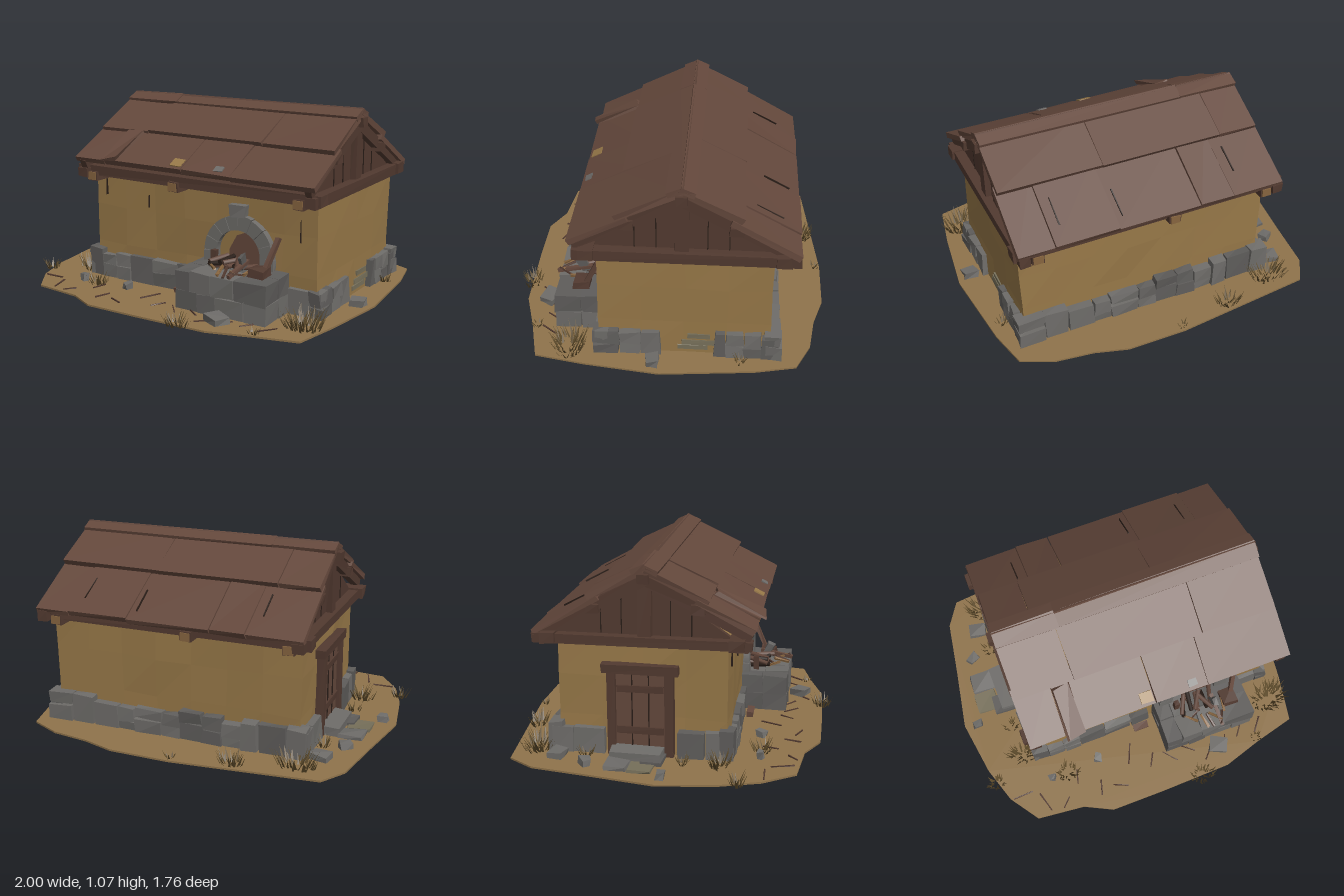
import * as THREE from 'three';

const paint = (name, color, side = THREE.FrontSide) => {
  const m = new THREE.MeshStandardMaterial({ color, side });
  m.name = name;
  return m;
};

export function createModel() {
  const root = new THREE.Group();
  root.name = 'cottage';
  const plaster = paint('plaster', 0x977848), earth = paint('earth', 0x8f734b);
  const roofWood = paint('roofWood', 0x64483c), beamWood = paint('beamWood', 0x523a30);
  const stone = paint('stone', 0x6e6c69), stoneDark = paint('stoneDark', 0x5f5d5b);
  const endGrain = paint('endGrain', 0x86643f), dark = paint('dark', 0x2a1e18);
  const grassMat = paint('dryGrass', 0x5c4a2a, THREE.DoubleSide);
  const mossy = paint('mossyStone', 0x77705a);

  let seed = 7;
  const rnd = () => (seed = (seed * 16807) % 2147483647) / 2147483647;
  const jit = (a) => (rnd() - 0.5) * 2 * a;

  function add(name, geo, mat, x = 0, y = 0, z = 0, parent = root) {
    const m = new THREE.Mesh(geo, mat);
    m.name = name;
    m.position.set(x, y, z);
    parent.add(m);
    return m;
  }
  function group(name) {
    const g = new THREE.Group();
    g.name = name;
    root.add(g);
    return g;
  }
  // Box with slightly displaced corners and flat faces
  function rough(w, h, d, amt, sx = 1, sy = 1, sz = 1) {
    const g = new THREE.BoxGeometry(w, h, d, sx, sy, sz).toNonIndexed();
    const p = g.attributes.position, moved = new Map();
    for (let i = 0; i < p.count; i++) {
      const v = [p.getX(i), p.getY(i), p.getZ(i)];
      const k = v.map((n) => Math.round(n * 1e4)).join();
      if (!moved.has(k)) moved.set(k, v.map((n) => n + jit(amt)));
      p.setXYZ(i, ...moved.get(k));
    }
    g.computeVertexNormals();
    return g;
  }
  // Box given by its limits
  function block(name, mat, x0, x1, y0, y1, z0, z1, amt = 0.004, parent = root) {
    return add(name, rough(x1 - x0, y1 - y0, z1 - z0, amt), mat,
      (x0 + x1) / 2, (y0 + y1) / 2, (z0 + z1) / 2, parent);
  }
  // Board whose top runs between two [z, y] points, back to front
  function slope(name, mat, x0, x1, a, b, th, amt = 0.003, parent = root) {
    const dz = b[0] - a[0], dy = b[1] - a[1], t = Math.atan2(-dy, dz);
    const m = add(name, rough(x1 - x0, th, Math.hypot(dz, dy), amt), mat, (x0 + x1) / 2,
      (a[1] + b[1]) / 2 - Math.cos(t) * th / 2, (a[0] + b[0]) / 2 - Math.sin(t) * th / 2, parent);
    m.rotation.x = t;
    return m;
  }

  // Ground
  const outline = [[-1, 0], [-0.94, -0.35], [-0.89, -0.67], [-0.8, -0.81], [-0.4, -0.85], [0, -0.89],
    [0.34, -0.885], [0.52, -0.83], [0.73, -0.8], [0.9, -0.72], [0.95, -0.5], [1, 0], [0.95, 0.4],
    [0.9, 0.67], [0.66, 0.73], [0.43, 0.8], [0, 0.81], [-0.32, 0.81], [-0.48, 0.73], [-0.76, 0.7],
    [-0.88, 0.53], [-0.95, 0.32]];
  const ground = new THREE.ExtrudeGeometry(
    new THREE.Shape(outline.map(([x, z]) => new THREE.Vector2(x, -z))), { depth: 0.01, bevelEnabled: false });
  add('ground', ground.rotateX(-Math.PI / 2), earth);

  // Walls
  add('walls', rough(1.44, 0.65, 0.91, 0.007, 7, 3, 4), plaster, 0.1, 0.325, -0.125);
  for (const [x, y, h] of [[-0.55, 0.5, 0.1], [-0.25, 0.46, 0.07], [0.72, 0.4, 0.12]])
    block('wallCrack', dark, x, x + 0.005, y, y + h, 0.332, 0.34, 0.002);

  // Stone footing, with one or two courses per stretch
  const footing = group('footing');
  function course(axis, from, to, lo, hi, h) {
    for (let p = from; p < to - 0.01;) {
      let q = p + 0.08 + rnd() * 0.09;
      if (to - q < 0.06) q = to;
      const top = h + jit(0.018), split = rnd() < 0.5 ? top * (0.4 + rnd() * 0.25) : 0;
      for (const [y0, y1] of split ? [[0, split], [split + 0.003, top]] : [[0, top]]) {
        const lim = [p + 0.002, q - 0.002, y0, y1], mat = rnd() < 0.35 ? stoneDark : stone, o = jit(0.008);
        if (axis === 'x') block('footingStone', mat, ...lim, lo + o, hi + o, 0.007, footing);
        else block('footingStone', mat, lo + o, hi + o, y0, y1, lim[0], lim[1], 0.007, footing);
      }
      p = q;
    }
  }
  course('x', -0.67, 0.08, 0.29, 0.365, 0.16);
  course('x', 0.66, 0.86, 0.29, 0.365, 0.16);
  course('x', -0.67, 0.86, -0.63, -0.55, 0.155);
  course('z', 0, 0.36, 0.78, 0.855, 0.155);
  course('z', -0.62, -0.28, 0.78, 0.855, 0.155);
  course('z', 0.06, 0.36, -0.67, -0.6, 0.16);
  course('z', -0.62, -0.33, -0.67, -0.6, 0.16);
  for (const [y, z, w] of [[0.035, -0.17, 0.16], [0.07, -0.2, 0.18], [0.11, -0.2, 0.12]])
    block('exposedStone', mossy, 0.822, 0.83, y, y + 0.028, z - w / 2, z + w / 2, 0.002);

  // Beams: cross beams with pale ends, wall plates and gable ties
  for (const x of [-0.58, -0.02, 0.75]) {
    block('crossBeam', beamWood, x - 0.033, x + 0.033, 0.595, 0.65, -0.69, 0.43);
    for (const z of [-0.692, 0.432])
      block('beamEnd', endGrain, x - 0.027, x + 0.027, 0.6, 0.645, z - 0.004, z + 0.004, 0);
  }
  for (const z of [-0.62, 0.375]) block('wallPlate', beamWood, -0.69, 0.87, 0.62, 0.68, z - 0.04, z + 0.04);
  for (const x of [-0.635, 0.825]) block('gableTie', beamWood, x - 0.03, x + 0.03, 0.615, 0.67, -0.71, 0.45);

  // Gables
  const tri = new THREE.Shape([[-0.37, 0.65], [0.61, 0.65], [0.11, 0.985]].map((p) => new THREE.Vector2(...p)));
  for (const s of [-1, 1]) {
    const x = 0.095 + s * 0.69;
    add('gableBoards', new THREE.ExtrudeGeometry(tri, { depth: 0.03, bevelEnabled: false })
      .rotateY(Math.PI / 2), beamWood, x - 0.015);
    const o = x + s * 0.03;
    block('gablePost', beamWood, o - 0.02, o + 0.02, 0.65, 0.98, -0.145, -0.075);
    for (const z of [-0.35, -0.24, 0.02, 0.13])
      block('boardSeam', dark, x + s * 0.017 - 0.002, x + s * 0.017 + 0.002, 0.67, z < -0.3 || z > 0.1 ? 0.8 : 0.88, z, z + 0.005, 0);
    slope('rafter', beamWood, o - 0.02, o + 0.02, [-0.11, 1], [0.46, 0.715], 0.06);
    slope('rafter', beamWood, o - 0.02, o + 0.02, [-0.69, 0.685], [-0.11, 1], 0.06);
    for (const [z, y] of [[0.17, 0.825], [-0.38, 0.81]])
      block('purlinEnd', beamWood, o - 0.04, o + 0.04, y - 0.025, y + 0.025, z - 0.035, z + 0.035);
  }

  // Roof planks in two overlapping rows on each slope, and a ridge cap
  const roof = group('roof');
  function row(cuts, a, b) {
    for (let i = 0; i < cuts.length - 1; i++) {
      const d = jit(0.005);
      slope('roofPlank', roofWood, cuts[i] + 0.002, cuts[i + 1] - 0.002,
        [a[0], a[1] + d], [b[0], b[1] + d], 0.032, 0.004, roof);
    }
  }
  row([-0.67, -0.46, 0.06, 0.37, 0.86], [0.17, 0.885], [0.47, 0.735]);
  row([-0.66, -0.33, 0.42, 0.85], [-0.1, 1.035], [0.23, 0.878]);
  row([-0.67, -0.36, -0.16, 0.31, 0.66, 0.86], [-0.715, 0.69], [-0.36, 0.885]);
  row([-0.66, -0.43, 0.27, 0.85], [-0.42, 0.885], [-0.12, 1.035]);
  slope('brokenShingle', roofWood, -0.46, -0.36, [0.24, 0.875], [0.5, 0.755], 0.025, 0.012, roof).rotation.z = 0.05;
  for (const [x0, x1] of [[-0.66, -0.31], [-0.31, 0.85]]) {
    slope('ridgeCap', roofWood, x0, x1, [-0.115, 1.055], [-0.03, 1.018], 0.03, 0.003, roof);
    slope('ridgeCap', roofWood, x0, x1, [-0.18, 1.022], [-0.105, 1.055], 0.03, 0.003, roof);
  }
  block('ridgeBeam', beamWood, -0.685, 0.865, 0.955, 1.005, -0.14, -0.08);
  slope('roofPatch', plaster, -0.02, 0.05, [0.4, 0.778], [0.455, 0.75], 0.006, 0.002);
  slope('roofPatch', stone, 0.26, 0.31, [0.42, 0.768], [0.455, 0.75], 0.006, 0.002);
  for (const [x, z] of [[0.27, -0.66], [-0.42, -0.6], [0.6, -0.62]]) {
    const y = 0.69 + (z + 0.715) * 0.55;
    slope('roofCrack', dark, x, x + 0.006, [z, y + 0.004], [z + 0.14, y + 0.081], 0.008, 0.002);
  }

  // Door on the right side, with frame, planks and threshold
  const door = group('door');
  block('doorPanel', roofWood, -0.645, -0.61, 0.02, 0.47, -0.27, 0, 0.002, door);
  for (const z of [-0.18, -0.09]) block('doorSeam', dark, -0.65, -0.644, 0.04, 0.46, z - 0.003, z + 0.003, 0, door);
  for (const y of [0.13, 0.36]) block('doorBrace', beamWood, -0.655, -0.63, y, y + 0.04, -0.26, -0.01, 0.002, door);
  for (const z of [-0.29, 0.02]) block('doorPost', beamWood, -0.665, -0.6, 0, 0.48, z - 0.025, z + 0.025, 0.004, door);
  block('doorLintel', beamWood, -0.672, -0.6, 0.465, 0.515, -0.34, 0.07, 0.004, door);
  block('threshold', stone, -0.75, -0.64, 0, 0.06, -0.29, -0.01, 0.006);
  for (const [x, z, m] of [[-0.81, -0.23, stone], [-0.82, -0.1, mossy], [-0.72, -0.06, stoneDark]])
    block('pavingSlab', m, x - 0.065, x + 0.065, 0, 0.025, z - 0.06, z + 0.06, 0.008);

  // Oven: stone hearth, arch and fire opening
  const oven = group('oven');
  block('hearthCore', stoneDark, 0.13, 0.64, 0, 0.2, 0.32, 0.575, 0, oven);
  const cuts = [[0.11, 0.25, 0.36, 0.53, 0.66], [0.11, 0.2, 0.33, 0.47, 0.66]];
  cuts.forEach((c, j) => {
    for (let i = 0; i < 4; i++)
      for (const [z0, z1] of [[0.32, 0.45], [0.453, 0.595]])
        block('hearthStone', rnd() < 0.35 ? stoneDark : stone, c[i] + 0.002, c[i + 1] - 0.002,
          j * 0.113, j * 0.113 + 0.11, z0, z1, 0.007, oven);
  });
  const cx = 0.36, cy = 0.285;
  const opening = new THREE.Shape().moveTo(-0.065, -0.065).lineTo(-0.065, 0.02).lineTo(-0.02, 0.1)
    .lineTo(0.04, 0.125).lineTo(0.1, 0.08).lineTo(0.135, 0).lineTo(0.135, -0.065);
  add('fireOpening', new THREE.ExtrudeGeometry(opening, { depth: 0.006, bevelEnabled: false }), roofWood, cx, cy, 0.337, oven);
  for (let i = 0; i < 8; i++) {
    const s = new THREE.Shape(), a = i * Math.PI / 8 + 0.008, b = (i + 1) * Math.PI / 8 - 0.008;
    s.absarc(0, 0, 0.215 + jit(0.004), a, b, false);
    s.absarc(0, 0, 0.135, b, a, true);
    add('archStone', new THREE.ExtrudeGeometry(s, { depth: 0.045, bevelEnabled: false, curveSegments: 4 }),
      stone, cx, cy, 0.32, oven);
  }
  for (const x of [0.145, 0.495]) block('archFoot', stone, x, x + 0.08, 0.21, 0.285, 0.32, 0.365, 0.003, oven);
  block('keystone', stone, 0.305, 0.405, 0.49, 0.56, 0.32, 0.37, 0.005, oven);

  // Firewood and tools on the hearth
  for (let i = 0; i < 9; i++) {
    const log = add('firewood', new THREE.CylinderGeometry(0.013, 0.015, 0.12, 6), i % 3 ? roofWood : dark,
      0.27 + (i % 5) * 0.045, 0.24 + (i > 4 ? 0.025 : 0), 0.41 + jit(0.03));
    log.rotation.set(1.4 + jit(0.3), 0, jit(0.8));
  }
  block('woodBlock', beamWood, 0.5, 0.59, 0.22, 0.265, 0.41, 0.5, 0.006);
  add('toolHandle', rough(0.025, 0.2, 0.025, 0.003), roofWood, 0.585, 0.325, 0.4).rotation.set(-0.45, 0, -0.2);
  add('pegLeft', rough(0.03, 0.08, 0.03, 0.003), beamWood, 0.235, 0.265, 0.4);
  add('axeHandle', rough(0.02, 0.02, 0.2, 0.002), roofWood, 0.45, 0.26, 0.51).rotation.x = 0.2;
  add('axeHead', rough(0.02, 0.085, 0.05, 0.01), stoneDark, 0.45, 0.285, 0.46).rotation.x = 0.5;
  for (let i = 0; i < 7; i++)
    add('kindling', rough(0.012, 0.012, 0.09, 0.004), i % 2 ? beamWood : endGrain, 0.29 + i * 0.035, 0.245, 0.52 + jit(0.04))
      .rotation.set(jit(0.5), jit(1.5), 0);
  block('woodScrap', roofWood, -0.03, 0.06, 0.01, 0.045, 0.37, 0.41);

  // Loose stones and twigs
  for (const [x, z, s] of [[-0.73, -0.57, 0.1], [-0.82, -0.4, 0.065], [-0.92, 0.02, 0.055], [0.92, 0.04, 0.08],
    [0.42, 0.67, 0.11], [-0.6, 0.5, 0.04], [-0.3, 0.48, 0.05]])
    add('looseStone', rough(s, 0.05, s * 0.8, 0.01), stone, x, 0.022, z).rotation.y = jit(0.6);
  for (let i = 0; i < 14; i++)
    add('twig', rough(0.007, 0.007, 0.07 + rnd() * 0.06, 0.002), beamWood, -0.8 + i * 0.115, 0.013, 0.52 + rnd() * 0.18)
      .rotation.y = jit(1.6);

  // Grass tufts made of bent triangular blades
  function tuft(x, z, r, h, n) {
    const v = [];
    for (let i = 0; i < n; i++) {
      const a = rnd() * 6.28, d = Math.sqrt(rnd()) * r, bx = x + Math.cos(a) * d, bz = z + Math.sin(a) * d * 0.7;
      const t = a + jit(0.8), k = h * (0.5 + rnd() * 0.5), w = 0.006;
      const c = Math.cos(t), s = Math.sin(t), ex = c * k * 0.55, ez = s * k * 0.55;
      v.push(bx - s * w, 0.005, bz + c * w, bx + s * w, 0.005, bz - c * w, bx + ex, 0.005 + k, bz + ez);
    }
    const g = new THREE.BufferGeometry();
    g.setAttribute('position', new THREE.Float32BufferAttribute(v, 3));
    g.computeVertexNormals();
    add('grassTuft', g, grassMat);
  }
  for (const t of [[-0.64, -0.7, 0.1, 0.1, 70], [-0.32, -0.8, 0.06, 0.08, 40], [-0.93, 0.41, 0.04, 0.07, 24],
    [-0.72, 0.3, 0.07, 0.1, 40], [-0.5, 0.5, 0.06, 0.08, 30], [0.83, 0.5, 0.1, 0.11, 80], [0.27, 0.8, 0.07, 0.07, 40],
    [0, -0.86, 0.025, 0.04, 12], [0.88, -0.42, 0.03, 0.06, 14], [-0.7, -0.42, 0.04, 0.07, 20], [-0.73, 0.1, 0.04, 0.06, 18],
    [0.66, 0.7, 0.03, 0.04, 12]]) tuft(...t);
  return root;
}
